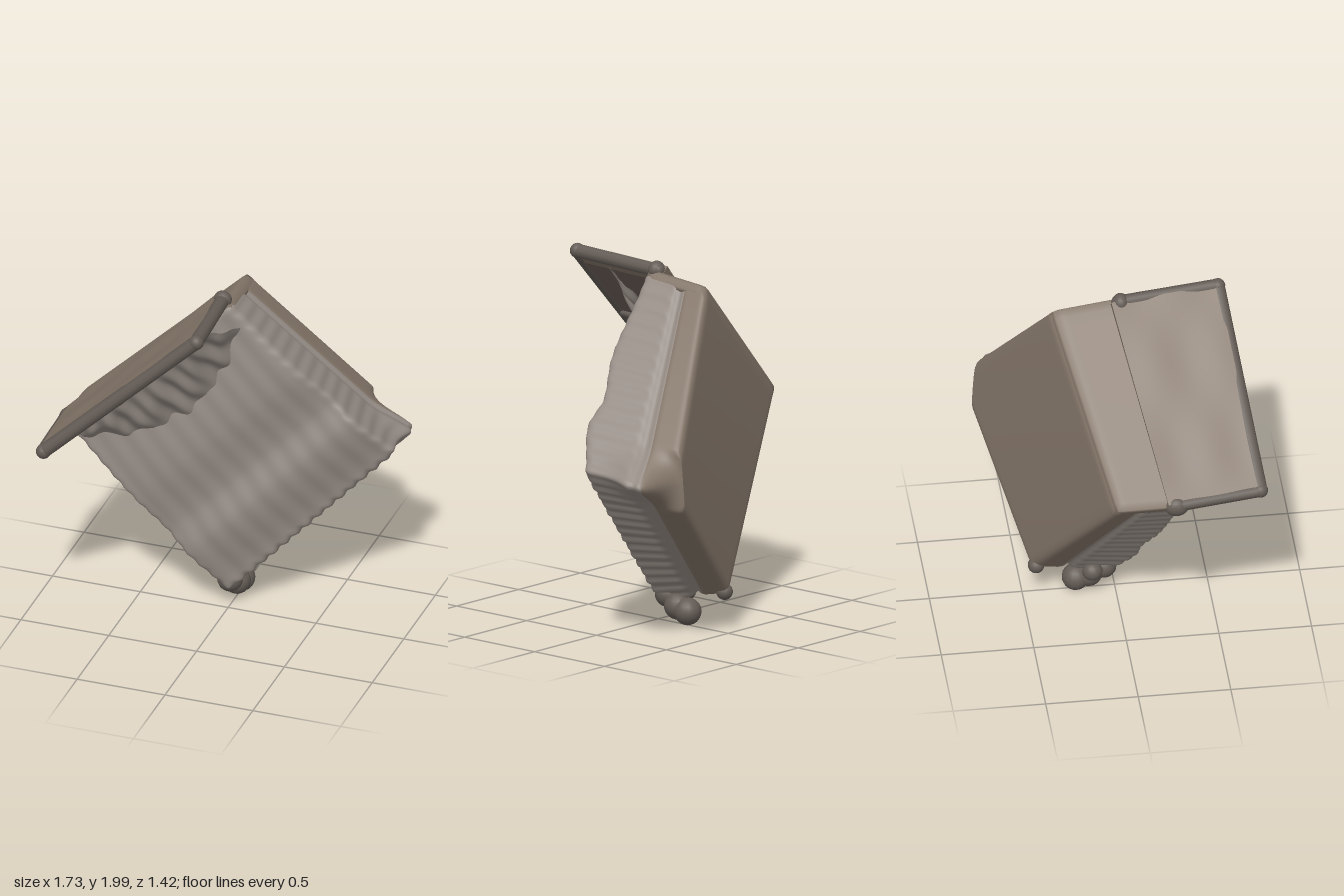
import * as THREE from 'three';
import { mergeVertices } from 'three/addons/utils/BufferGeometryUtils.js';

const V = (x, y, z) => new THREE.Vector3(x, y, z);
const mat = (c) => new THREE.MeshStandardMaterial({ color: c, side: THREE.DoubleSide });
const tan = mat(0x85776a), dark = mat(0x645c56), pale = mat(0x958c85), inner = mat(0x6e6058);
const { smoothstep, lerp } = THREE.MathUtils;

// Body corners in order left, top, bottom, right (u runs from the spine, v up along it)
const BACK = [V(-0.84, 1.13, -0.1), V(0.0, 1.88, -0.35), V(-0.05, 0.2, -0.465), V(0.73, 0.95, -0.76)];
const FRONT = [V(-0.85, 1.14, 0.26), V(0.02, 1.92, 0.06), V(0.0, 0.1, 0.0), V(0.87, 1.0, -0.25)];

// Lid corners: hinge left, hinge top, rim left, rim top
const LID = [V(-0.845, 1.16, 0.22), V(-0.03, 1.93, 0.02), V(-0.815, 1.195, 0.685), V(0.01, 1.96, 0.56)];
const LID_IN = V(0.68, -0.73, 0);

function patch(c, u, v) {
  const a = c[0].clone().lerp(c[1], v);
  return a.lerp(c[2].clone().lerp(c[3], v), u);
}
const body = (u, v, w) => patch(BACK, u, v).lerp(patch(FRONT, u, v), w);
const lidAt = (u, v, d = 0.015) => patch(LID, u, v).addScaledVector(LID_IN, d);
const SIZE = V(1.27, 1.18, 0.45);

// Shared shift of the right corner: cut off at the back, bulging at mid depth
function corner(u, v, w) {
  const cut = Math.max(0, u + v - 1.8) / 2 * (1 - smoothstep(w, 0, 0.4));
  const bulge = 0.05 * smoothstep(u, 0.8, 1) * smoothstep(v, 0.8, 1) * Math.exp(-(((w - 0.42) / 0.22) ** 2));
  return bulge - cut;
}

// Rounded block in body coordinates, bent into place; bump(u, v, w) returns a shift in u, v, w
function block(name, lo, hi, r, material, segs, bump) {
  const half = hi.clone().sub(lo).multiply(SIZE).multiplyScalar(0.5);
  const mid = hi.clone().add(lo).multiplyScalar(0.5);
  let g = new THREE.BoxGeometry(half.x * 2, half.y * 2, half.z * 2, ...segs);
  g.deleteAttribute('normal');
  g.deleteAttribute('uv');
  g = mergeVertices(g);
  const p = g.attributes.position;
  const core = half.clone().subScalar(r);
  for (let i = 0; i < p.count; i++) {
    const q = V().fromBufferAttribute(p, i);
    const c = q.clone().clamp(core.clone().negate(), core);
    const d = q.clone().sub(c);
    if (d.length() > r) q.copy(c).addScaledVector(d.normalize(), r);
    q.divide(SIZE).add(mid);
    if (bump) q.add(bump(q.x, q.y, q.z));
    const o = body(q.x, q.y, q.z);
    p.setXYZ(i, o.x, o.y, o.z);
  }
  g.computeVertexNormals();
  const m = new THREE.Mesh(g, material);
  m.name = name;
  return m;
}

// Thin surface through at(s, t), with s and t from 0 to 1
function sheet(name, at, n, k, material) {
  const g = new THREE.PlaneGeometry(1, 1, n, k);
  const p = g.attributes.position;
  for (let i = 0; i < p.count; i++) {
    const o = at(p.getX(i) + 0.5, p.getY(i) + 0.5);
    p.setXYZ(i, o.x, o.y, o.z);
  }
  g.computeVertexNormals();
  const m = new THREE.Mesh(g, material);
  m.name = name;
  return m;
}

// Height of the banded front across u
const BANDS = [[-0.1, 0], [0, 0.01], [0.43, 0.07], [0.63, 0.04], [0.76, 0.075], [1.0, 0.015], [1.1, 0.015]];
function bandHeight(u) {
  for (let i = 1; i < BANDS.length; i++) {
    const [a, h] = BANDS[i - 1], [b, k] = BANDS[i];
    if (u <= b) return lerp(h, k, smoothstep(u, a, b));
  }
  return 0.015;
}

function tube(name, points, r, material) {
  const m = new THREE.Mesh(
    new THREE.TubeGeometry(new THREE.CatmullRomCurve3(points), 16, r, 10), material);
  m.name = name;
  return m;
}

function ball(name, pos, scale, material) {
  const m = new THREE.Mesh(new THREE.SphereGeometry(1, 16, 12), material);
  m.position.copy(pos);
  m.scale.copy(scale);
  m.name = name;
  return m;
}

function createLid() {
  const lid = new THREE.Group();
  lid.name = 'lid';

  // Thin panel with a slightly uneven skin, overlapping the spine
  const g = new THREE.BoxGeometry(1, 1, 1, 24, 24, 1);
  const p = g.attributes.position;
  for (let i = 0; i < p.count; i++) {
    const u = lerp(-0.08, 1, p.getX(i) + 0.5), v = p.getY(i) + 0.5;
    const o = lidAt(u, v, (0.5 - p.getZ(i)) * 0.06 - 0.02 + 0.004 * Math.sin(u * 9) * Math.sin(v * 7));
    p.setXYZ(i, o.x, o.y, o.z);
  }
  g.computeVertexNormals();
  const panel = new THREE.Mesh(g, tan);
  panel.name = 'lidPanel';
  lid.add(panel);

  // Rounded rim around the free edges
  for (const [a, b, c, d] of [[0, 0, 1, 0], [1, 0, 1, 1], [1, 1, 0, 1]]) {
    lid.add(tube('lidRim', [lidAt(a, b), lidAt((a + c) / 2, (b + d) / 2), lidAt(c, d)], 0.038, dark));
  }
  for (const [u, v] of [[0, 0], [1, 0], [1, 1], [0, 1]]) {
    lid.add(ball('lidCorner', lidAt(u, v), V(0.041, 0.041, 0.041), dark));
  }

  // Inner lining in two panels with a rib between
  for (const [a, b] of [[0.06, 0.44], [0.5, 0.94]]) {
    lid.add(sheet('lidLining', (s, t) => lidAt(0.1 + 0.83 * s, lerp(a, b, t), 0.045), 6, 6, inner));
  }
  lid.add(tube('lidRib', [lidAt(0.1, 0.47, 0.04), lidAt(0.5, 0.47, 0.045), lidAt(0.97, 0.47, 0.04)], 0.022, dark));
  return lid;
}

// Wrinkled web joining the lid to the front, widest in the middle
function createWeb() {
  return sheet('wrinkledWeb', (s, t) => {
    const v = 0.04 + 0.92 * t;
    const reach = 0.08 + 0.23 * Math.sin(Math.PI * v) + 0.015 * Math.sin(v * 41);
    const top = lidAt(0.38 + 0.27 * v, v, 0.04);
    const foot = body(reach, v, 1.04);
    const arch = Math.sin(Math.PI * s);
    const wave = 0.012 * Math.sin(v * 62 + 3 * s) + 0.01 * Math.sin(v * 23 + s * 9);
    return top.lerp(foot, s).addScaledVector(V(0.5, -0.5, 0.7), arch * (0.015 + wave));
  }, 20, 90, pale);
}

export function createModel() {
  const model = new THREE.Group();
  model.name = 'openBox';

  // Smooth back shell with its right corner cut off
  model.add(block('backShell', V(0, 0, 0), V(1, 1, 0.4), 0.04, tan, [48, 48, 14], (u, v, w) => {
    const c = corner(u, v, w);
    return V(c, c, 0);
  }));

  // Filling with ribbed sides, a groove beside the shell and a banded front
  model.add(block('filling', V(0.01, 0.0, 0.3), V(1.0, 1.0, 1), 0.035, pale, [80, 80, 24], (u, v, w) => {
    const rim = smoothstep(w, 0.45, 0.6);
    const groove = 0.015 * Math.exp(-(((w - 0.43) / 0.05) ** 2));
    const c = corner(u, v, w);
    const du = u > 0.97 ? 0.005 * Math.sin(v * 95) * rim - groove : 0;
    const side = 0.003 * Math.sin(u * 85) * rim - groove;
    const dv = v > 0.97 ? side : v < 0.03 ? -side : 0;
    const ripple = 0.003 * Math.sin(v * 60 + 5 * u);
    const height = bandHeight(u) * lerp(0.7, 1, smoothstep(v, 0, 0.3)) + ripple;
    return V(du + c, dv + c, smoothstep(w, 0.6, 1) * height / SIZE.z);
  }));

  // Flat spine along the upper left side
  model.add(block('spine', V(-0.015, 0.0, 0.02), V(0.05, 1.0, 1), 0.02, tan, [4, 24, 10]));

  model.add(createLid(), createWeb());

  // Hinge knobs and the crumpled bottom corner
  model.add(ball('hingeKnob', V(-0.835, 1.14, 0.23), V(0.043, 0.055, 0.065), dark));
  model.add(ball('hingeKnob', V(-0.02, 1.92, 0.03), V(0.05, 0.05, 0.045), dark));
  const lumps = [[0, 0.08, -0.21, 0.075], [0, 0.1, -0.14, 0.075], [-0.01, 0.15, -0.06, 0.07],
    [-0.08, 0.17, -0.13, 0.055], [-0.05, 0.215, -0.43, 0.045]];
  for (const [x, y, z, r] of lumps) model.add(ball('cornerLump', V(x, y, z), V(r, r, r), dark));
  return model;
}
